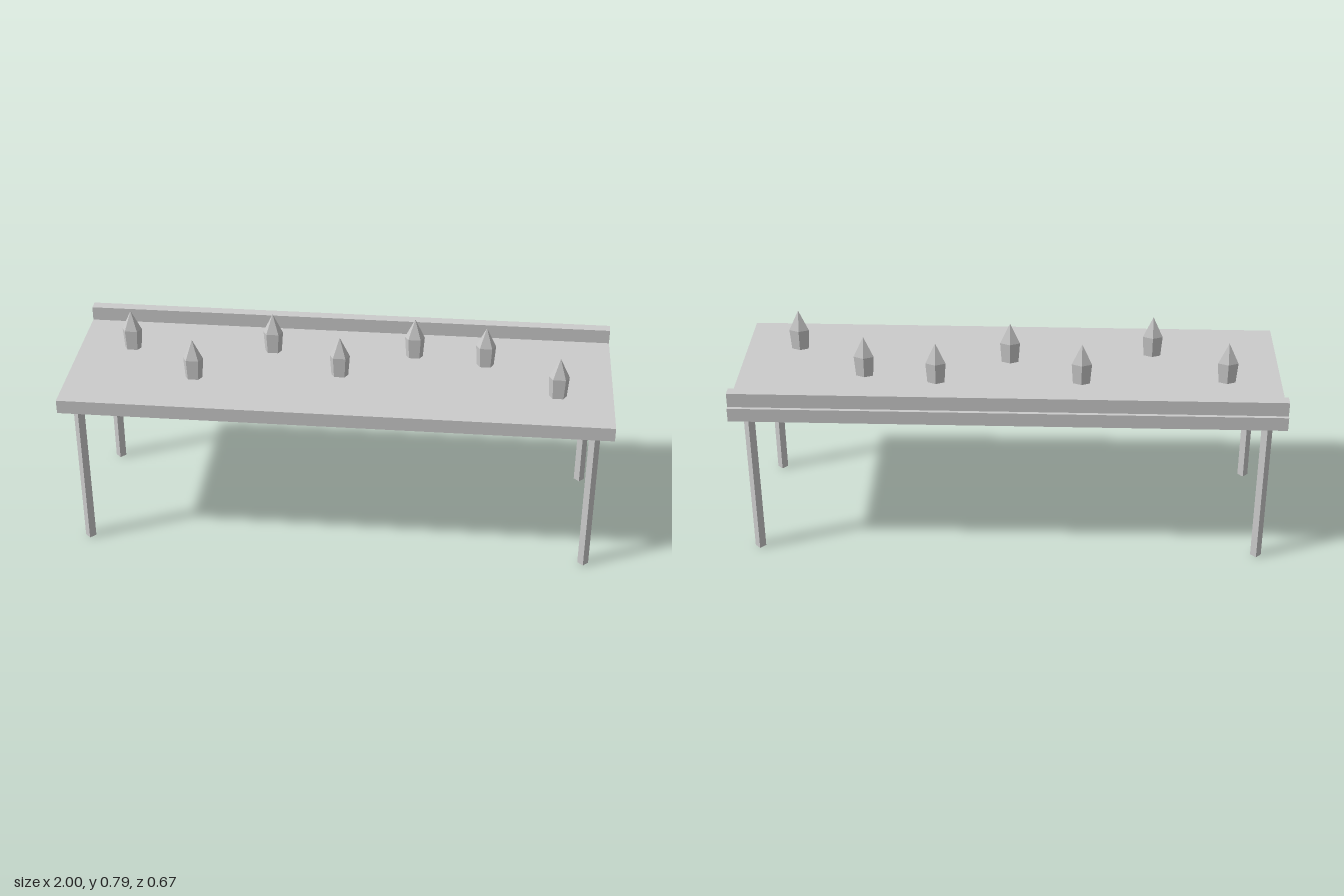
import * as THREE from 'three';

const grey = new THREE.MeshStandardMaterial({ color: 0xcccccc });

// Gives every face its own normal, for a faceted look
function faceted(geometry) {
  const g = geometry.toNonIndexed();
  g.computeVertexNormals();
  return g;
}

function add(parent, name, geometry, x, y, z) {
  const mesh = new THREE.Mesh(geometry, grey);
  mesh.name = name;
  mesh.position.set(x, y, z);
  parent.add(mesh);
  return mesh;
}

export function createModel() {
  const model = new THREE.Group();
  model.name = 'spikedTable';

  const legTop = 0.575;
  const boardTop = 0.627;

  // Table board and the raised rail along its back
  const thickness = boardTop - legTop;
  add(model, 'board', new THREE.BoxGeometry(2, thickness, 0.666), 0, legTop + thickness / 2, 0);
  add(model, 'backRail', new THREE.BoxGeometry(2, 0.054, 0.04), 0, boardTop + 0.027, -0.3);

  // Four-sided legs, set corner-on
  const legGeometry = faceted(new THREE.CylinderGeometry(0.02, 0.02, legTop, 4));
  for (const x of [-0.933, 0.933]) {
    for (const z of [-0.28, 0.28]) add(model, 'leg', legGeometry, x, legTop / 2, z);
  }

  // Five-sided flattened spikes: a flaring shaft under a pointed tip
  const h = 0.079;
  const shaft = faceted(new THREE.CylinderGeometry(0.039, 0.033, h, 5, 1, false, Math.PI).scale(1, 1, 0.59));
  const tip = faceted(new THREE.ConeGeometry(0.039, h, 5, 1, true, Math.PI).scale(1, 1, 0.59));
  const depths = [-0.075, 0.123, -0.1, 0.055, -0.11, -0.068, 0.134];
  depths.forEach((z, i) => {
    const spike = new THREE.Group();
    spike.name = 'spike';
    spike.position.set((i - 3) * 0.2667, boardTop, z);
    add(spike, 'spikeShaft', shaft, 0, h / 2, 0);
    add(spike, 'spikeTip', tip, 0, h * 1.5, 0);
    model.add(spike);
  });

  return model;
}
